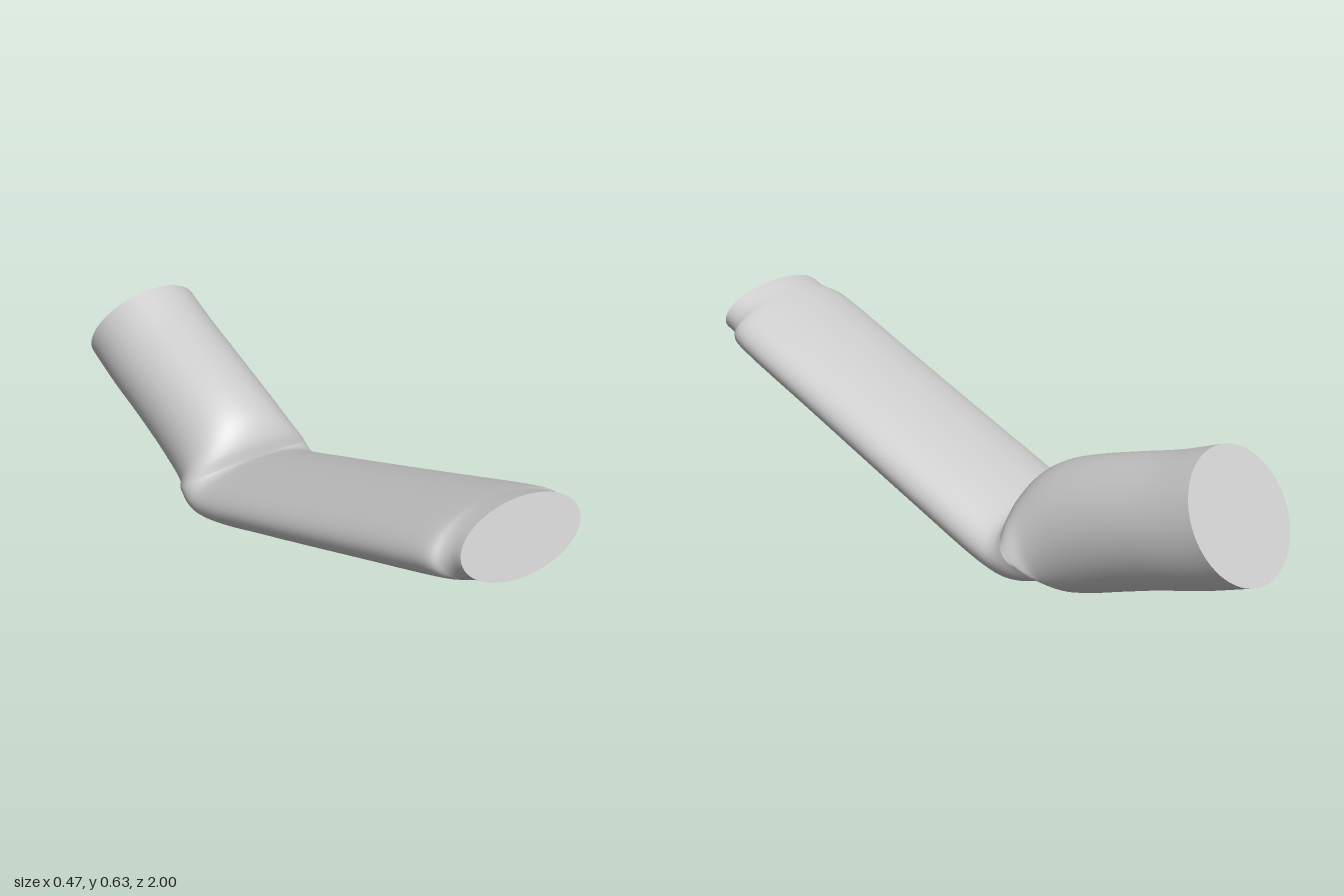
import * as THREE from 'three';

const SIDES = 64;

// Each ring: [top z, top y, bottom z, bottom y, half width in x], from front to back
const forearmRings = [
  [0.93, 0.63, 1.0, 0.445, 0.195],
  [0.895, 0.617, 0.965, 0.432, 0.196],
  [0.872, 0.608, 0.942, 0.423, 0.205],
  [0.85, 0.6, 0.92, 0.415, 0.224],
  [0.8, 0.582, 0.87, 0.397, 0.232],
  [0.5, 0.471, 0.57, 0.284, 0.231],
  [0.2, 0.36, 0.27, 0.172, 0.231],
  [0.0, 0.287, 0.06, 0.095, 0.231],
  [-0.12, 0.243, -0.1, 0.037, 0.231],
  [-0.17, 0.225, -0.2, 0.009, 0.231],
  [-0.185, 0.22, -0.27, 0.001, 0.231],
  [-0.195, 0.218, -0.325, 0.018, 0.231],
  [-0.2, 0.217, -0.37, 0.06, 0.23],
];
const upperRings = [
  [-0.2, 0.217, -0.37, 0.06, 0.23],
  [-0.21, 0.265, -0.39, 0.025, 0.222],
  [-0.245, 0.32, -0.41, 0.004, 0.205],
  [-0.3, 0.363, -0.46, 0.014, 0.195],
  [-0.4, 0.41, -0.57, 0.06, 0.19],
  [-0.53, 0.458, -0.71, 0.12, 0.19],
  [-0.67, 0.508, -0.86, 0.178, 0.192],
  [-0.8, 0.565, -1.0, 0.24, 0.192],
];

// Smooth tube through planar elliptical rings
function loft(rings, material, name) {
  const top = new THREE.CatmullRomCurve3(rings.map((r) => new THREE.Vector3(r[4], r[1], r[0])));
  const bottom = new THREE.CatmullRomCurve3(rings.map((r) => new THREE.Vector3(r[4], r[3], r[2])));
  const steps = (rings.length - 1) * 4;
  const pos = [], idx = [];
  for (let i = 0; i <= steps; i++) {
    const a = top.getPoint(i / steps), b = bottom.getPoint(i / steps);
    for (let j = 0; j < SIDES; j++) {
      const t = (j / SIDES) * Math.PI * 2, c = Math.cos(t);
      pos.push(a.x * Math.sin(t),
        (a.y + b.y) / 2 + ((a.y - b.y) / 2) * c,
        (a.z + b.z) / 2 + ((a.z - b.z) / 2) * c);
      if (i < steps) {
        const k = (j + 1) % SIDES, p = i * SIDES, q = p + SIDES;
        idx.push(p + j, p + k, q + j, p + k, q + k, q + j);
      }
    }
  }
  return makeMesh(pos, idx, material, name);
}

// Flat elliptical end closing a ring
function cap([tz, ty, bz, by, w], facesFront, material, name) {
  const pos = [0, (ty + by) / 2, (tz + bz) / 2], idx = [];
  for (let j = 0; j < SIDES; j++) {
    const t = (j / SIDES) * Math.PI * 2, c = Math.cos(t);
    pos.push(w * Math.sin(t), pos[1] + ((ty - by) / 2) * c, pos[2] + ((tz - bz) / 2) * c);
    const a = j + 1, b = ((j + 1) % SIDES) + 1;
    idx.push(0, facesFront ? b : a, facesFront ? a : b);
  }
  return makeMesh(pos, idx, material, name);
}

function makeMesh(pos, idx, material, name) {
  const g = new THREE.BufferGeometry();
  g.setAttribute('position', new THREE.Float32BufferAttribute(pos, 3));
  g.setIndex(idx);
  g.computeVertexNormals();
  const mesh = new THREE.Mesh(g, material);
  mesh.name = name;
  return mesh;
}

export function createModel() {
  const grey = new THREE.MeshStandardMaterial({ color: 0xcccccc });
  grey.name = 'light grey';
  const group = new THREE.Group();
  group.name = 'bentTube';
  group.add(
    loft(forearmRings, grey, 'longSection'),
    loft(upperRings, grey, 'shortSection'),
    cap(forearmRings[0], true, grey, 'frontCap'),
    cap(upperRings[upperRings.length - 1], false, grey, 'backCap'),
  );
  return group;
}
